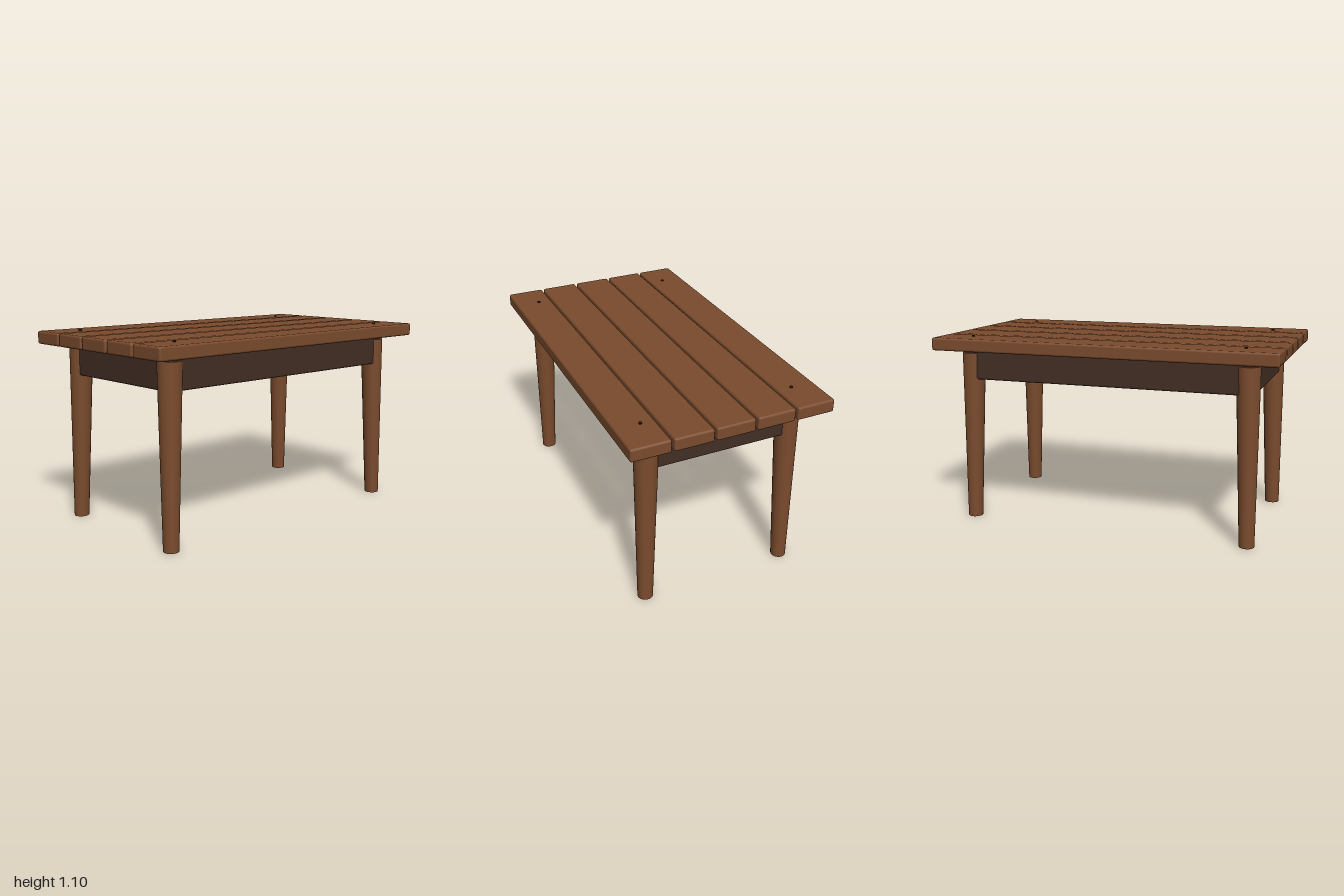
import * as THREE from 'three';
import { RoundedBoxGeometry } from 'three/addons/geometries/RoundedBoxGeometry.js';

export function createModel() {
  const table = new THREE.Group();
  table.name = 'slattedTable';

  const material = (name, color) => {
    const m = new THREE.MeshStandardMaterial({ color });
    m.name = name;
    return m;
  };
  const wood = material('warm wood', 0x7a4b2d);
  const darkWood = material('dark wood', 0x432e24);
  const pegWood = material('peg brown', 0x2c1c14);

  const add = (name, geometry, mat, x, y, z) => {
    const mesh = new THREE.Mesh(geometry, mat);
    mesh.name = name;
    mesh.position.set(x, y, z);
    table.add(mesh);
    return mesh;
  };

  // Five top planks with softened edges
  const plank = new RoundedBoxGeometry(2, 0.074, 0.218, 2, 0.012);
  for (let i = -2; i <= 2; i++) {
    add('topPlank', plank, wood, 0, 1.058, i * 0.2305);
  }

  // Apron frame: two long rails and two end rails
  const longRail = new RoundedBoxGeometry(1.69, 0.178, 0.058, 2, 0.012);
  const endRail = new RoundedBoxGeometry(0.068, 0.178, 0.89, 2, 0.012);
  for (const s of [-1, 1]) {
    add('longApron', longRail, darkWood, 0, 0.934, s * 0.429);
    add('endApron', endRail, darkWood, s * 0.823, 0.934, 0);
  }

  for (const sx of [-1, 1]) {
    for (const sz of [-1, 1]) {
      // Tapered leg, leaning inward so its outer side stays upright
      const leg = new THREE.CylinderGeometry(0.067, 0.043, 1, 32);
      leg.translate(0, 0.5, 0);
      leg.applyMatrix4(new THREE.Matrix4().set(
        1, -sx * 0.023, 0, 0,
        0, 1, 0, 0,
        0, -sz * 0.019, 1, 0,
        0, 0, 0, 1));
      add('leg', leg, wood, sx * 0.836, 0, sz * 0.427);

      // Small peg standing just proud of the outer plank
      add('peg', new THREE.CylinderGeometry(0.009, 0.009, 0.04, 12), pegWood,
        sx * 0.8, 1.081, sz * 0.432);
    }
  }

  return table;
}
